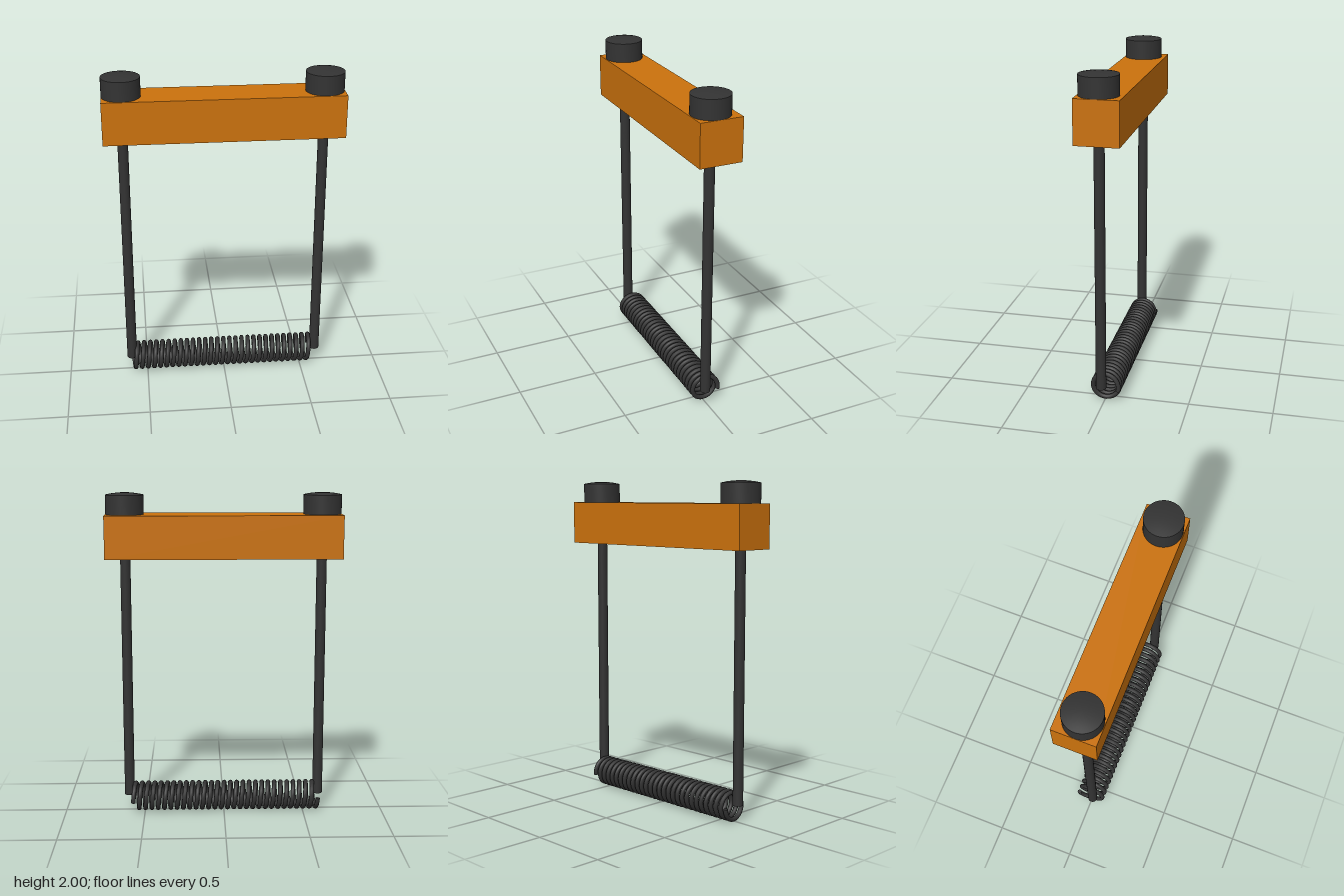
import * as THREE from 'three';
import { toCreasedNormals } from 'three/addons/utils/BufferGeometryUtils.js';

// Coil axis runs along x; the wire starts at the back and winds downward first
class Helix extends THREE.Curve {
  constructor(x0, x1, y, z, radius, turns) {
    super();
    Object.assign(this, { x0, x1, y, z, radius, turns });
  }
  getPoint(t, target = new THREE.Vector3()) {
    const a = t * this.turns * Math.PI * 2;
    return target.set(
      this.x0 + (this.x1 - this.x0) * t,
      this.y - this.radius * Math.sin(a),
      this.z - this.radius * Math.cos(a)
    );
  }
}

export function createModel() {
  const group = new THREE.Group();
  const orange = new THREE.MeshStandardMaterial({ color: 0xcb720d });
  orange.name = 'orange';
  const charcoal = new THREE.MeshStandardMaterial({ color: 0x333333 });
  charcoal.name = 'charcoal';

  const add = (name, geometry, material, x, y, z) => {
    const mesh = new THREE.Mesh(geometry, material);
    mesh.name = name;
    mesh.position.set(x, y, z);
    group.add(mesh);
    return mesh;
  };

  // Crossbar
  add('crossbar', new THREE.BoxGeometry(1.425, 0.26, 0.26), orange, 0, 1.74, 0);

  // Slightly domed knob profile
  const profile = [[0, 0], [0.115, 0], [0.115, 0.117], [0.08, 0.124], [0.04, 0.129], [0, 0.13]]
    .map(([r, y]) => new THREE.Vector2(r, y));
  const knob = toCreasedNormals(new THREE.LatheGeometry(profile, 48), 0.6);
  const rod = new THREE.CylinderGeometry(0.031, 0.031, 1.56, 32);

  // Knob and rod at each end
  for (const [side, s] of [['left', 1], ['right', -1]]) {
    add(side + 'Knob', knob, charcoal, s * 0.597, 1.87, 0.011);
    add(side + 'Rod', rod, charcoal, s * 0.598, 0.88, 0.012);
  }

  // Coil spring between the rod ends
  const wire = 0.0142;
  const helix = new Helix(-0.591, 0.572, 0.094, -0.007, 0.0798, 29.04);
  add('spring', new THREE.TubeGeometry(helix, 29 * 28, wire, 10), charcoal, 0, 0, 0);

  // Flat cut faces of the spring wire
  for (const [name, t, dir] of [['springStart', 0, -1], ['springEnd', 1, 1]]) {
    const p = helix.getPoint(t);
    const face = add(name, new THREE.CircleGeometry(wire, 10), charcoal, p.x, p.y, p.z);
    face.quaternion.setFromUnitVectors(
      new THREE.Vector3(0, 0, 1), helix.getTangent(t).multiplyScalar(dir));
  }

  return group;
}
